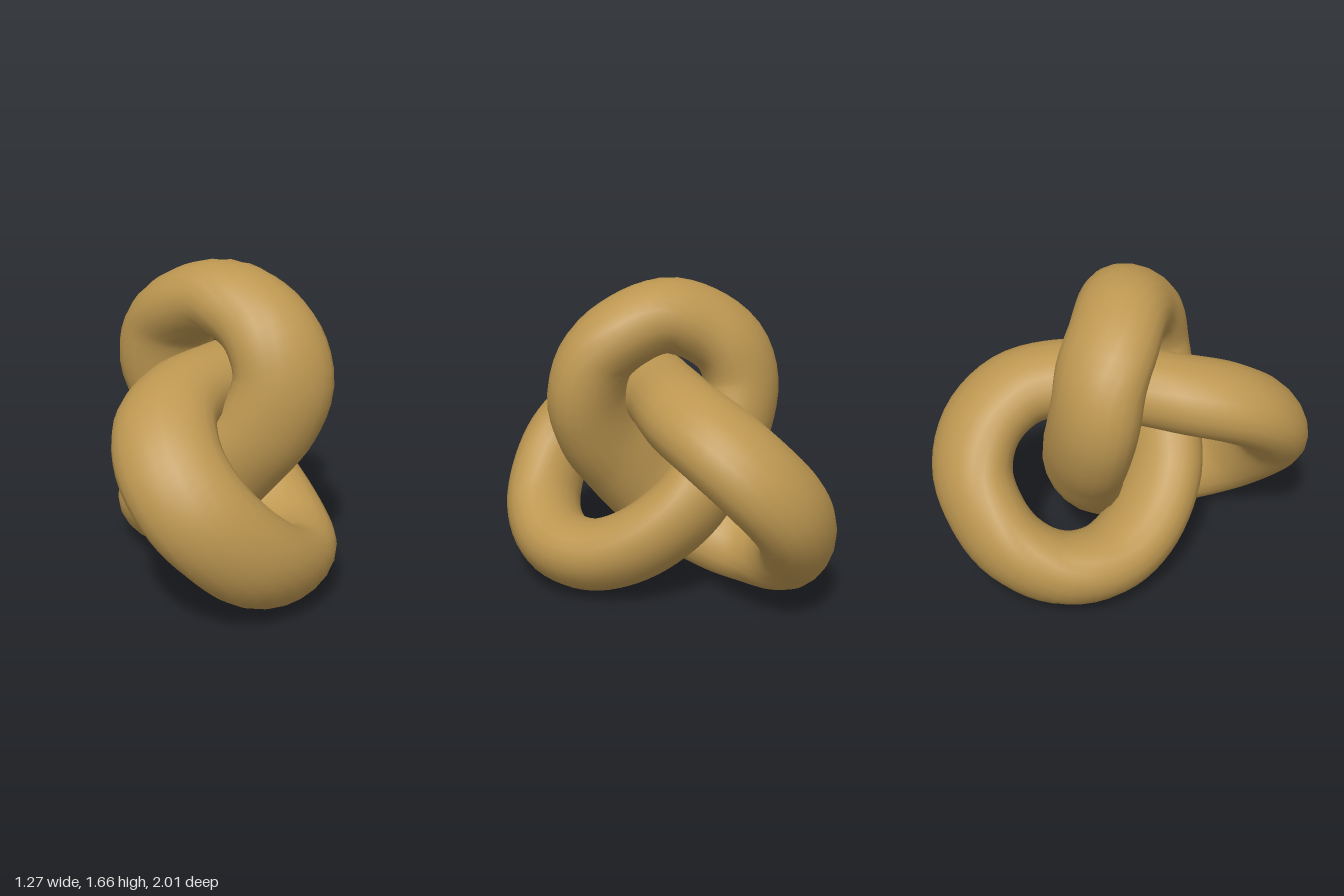
import * as THREE from 'three';

// Sweeps an oval section along a closed path. The oval is widest along the
// axis, which rocks up and down by `rock` once per circuit, and widest of all
// where the path runs square to that axis.
function sweepOval(path, baseAxis, rock, radius, stretch, rings, sides) {
  const positions = [], index = [];
  for (let i = 0; i < rings; i++) {
    const u = i / rings;
    const centre = path.getPointAt(u);
    const tangent = path.getTangentAt(u);
    const axis = baseAxis.clone();
    axis.y += rock * Math.sin(2 * Math.PI * u);
    const thin = tangent.clone().cross(axis.normalize());
    const wideRadius = Math.hypot(radius, stretch * thin.length());
    thin.normalize();
    const wide = thin.clone().cross(tangent);
    for (let j = 0; j < sides; j++) {
      const a = (j / sides) * Math.PI * 2;
      const p = centre.clone()
        .addScaledVector(thin, radius * Math.cos(a))
        .addScaledVector(wide, wideRadius * Math.sin(a));
      positions.push(p.x, p.y, p.z);
      const i2 = (i + 1) % rings, j2 = (j + 1) % sides;
      const p00 = i * sides + j, p01 = i * sides + j2;
      const p10 = i2 * sides + j, p11 = i2 * sides + j2;
      index.push(p00, p10, p01, p01, p10, p11);
    }
  }
  const geometry = new THREE.BufferGeometry();
  geometry.setAttribute('position', new THREE.Float32BufferAttribute(positions, 3));
  geometry.setIndex(index);
  geometry.computeVertexNormals();
  return geometry;
}

export function createModel() {
  const model = new THREE.Group();
  model.name = 'knot';

  const bronze = new THREE.MeshStandardMaterial({ color: 0xbd9751 });
  bronze.name = 'bronze';

  // Half of the centreline: from the crown of the upper loop, round the front
  // lobe, to the middle of the strand threaded through the upper loop.
  const half = [
    [-0.19, 1.40, -0.10], [-0.30, 1.28, -0.18], [-0.34, 1.10, -0.22],
    [-0.26, 0.88, -0.24], [-0.12, 0.70, -0.235], [0.05, 0.50, -0.20],
    [0.23, 0.32, -0.06], [0.345, 0.225, 0.12], [0.395, 0.208, 0.30],
    [0.375, 0.24, 0.49], [0.265, 0.365, 0.69], [0.04, 0.62, 0.805],
    [-0.12, 0.82, 0.725], [-0.19, 0.965, 0.53], [-0.15, 1.03, 0.28],
  ].map(p => new THREE.Vector3(...p));

  // The other half is the same path turned half a circle about y.
  const turned = half.map(p => new THREE.Vector3(-p.x, p.y, -p.z)).reverse();
  const path = new THREE.CatmullRomCurve3([
    new THREE.Vector3(0, 1.47, 0), ...half,
    new THREE.Vector3(0, 1.043, 0), ...turned,
  ], true, 'centripetal');

  // One closed oval tube, widened along the axis through the three lobes.
  const axis = new THREE.Vector3(0.91, 0, -0.41);
  const tube = new THREE.Mesh(sweepOval(path, axis, 0.5, 0.19, 0.178, 160, 20), bronze);
  tube.name = 'knotTube';
  model.add(tube);

  return model;
}
